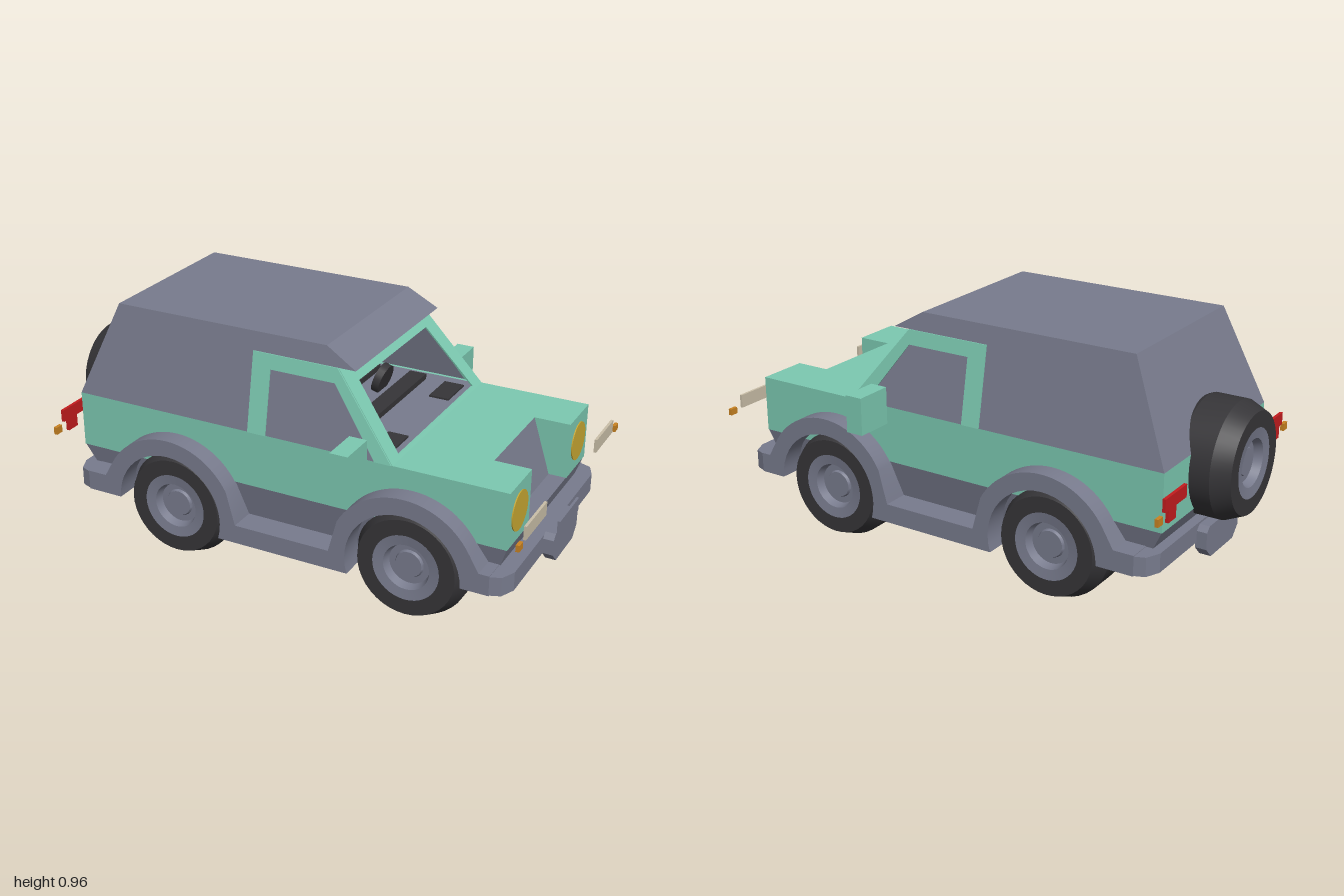
import * as THREE from 'three';
import { toCreasedNormals } from 'three/addons/utils/BufferGeometryUtils.js';

const mat = (name, color, side = THREE.FrontSide) => {
  const m = new THREE.MeshStandardMaterial({ color, side });
  m.name = name;
  return m;
};

export function createModel() {
  const green = mat('body green', 0x7cc9b1, THREE.DoubleSide);
  const grey = mat('trim grey', 0x787b8d, THREE.DoubleSide);
  const black = mat('tyre black', 0x363538);
  const yellow = mat('headlight yellow', 0xc8a832);
  const cream = mat('lamp cream', 0xcabfa8);
  const orange = mat('indicator orange', 0xc98322);
  const red = mat('tail red', 0xc41c1e);

  const car = new THREE.Group();
  car.name = 'offRoadCar';

  const add = (name, geo, material, parent = car) => {
    const m = new THREE.Mesh(geo, material);
    m.name = name;
    parent.add(m);
    return m;
  };
  // box given by its limits on each axis
  const box = (name, [x0, x1], [y0, y1], [z0, z1], material, parent) => {
    const g = new THREE.BoxGeometry(x1 - x0, y1 - y0, z1 - z0);
    g.translate((x0 + x1) / 2, (y0 + y1) / 2, (z0 + z1) / 2);
    return add(name, g, material, parent);
  };
  const shapeOf = pts => new THREE.Shape(pts.map(p => new THREE.Vector2(p[0], p[1])));
  const extrude = (shape, z0, z1) =>
    new THREE.ExtrudeGeometry(shape, { depth: z1 - z0, bevelEnabled: false }).translate(0, 0, z0);
  const remap = (geo, rule) => {
    const p = geo.attributes.position;
    for (let i = 0; i < p.count; i++) p.setXYZ(i, ...rule(p.getX(i), p.getY(i), p.getZ(i)));
    geo.computeVertexNormals();
    return geo;
  };

  // lower body, front wings and sloping grille
  box('lowerBody', [-0.855, 0.77], [0.37, 0.59], [-0.405, 0.405], green);
  add('grille', extrude(shapeOf([[0.77, 0.37], [0.84, 0.37], [0.77, 0.59]]), -0.2, 0.2), grey);

  // tapered sill under the body
  const sill = new THREE.BoxGeometry(1, 1, 1).toNonIndexed();
  add('sill', remap(sill, (x, y, z) => y > 0
    ? [x > 0 ? 0.908 : -0.853, 0.37, Math.sign(z) * 0.404]
    : [x > 0 ? 0.86 : -0.78, 0.225, Math.sign(z) * 0.375]), grey);
  box('chassis', [-0.64, 0.77], [0.155, 0.36], [-0.3, 0.3], grey);

  // bumpers with clipped corners
  const bumper = (name, pts) => {
    const plan = pts.concat(pts.slice().reverse().map(([x, z]) => [x, -z]));
    add(name, extrude(shapeOf(plan), 0.225, 0.298).rotateX(-Math.PI / 2), grey);
  };
  bumper('frontBumper', [[0.78, 0.48], [0.88, 0.48], [0.92, 0.465], [0.945, 0.41]]);
  bumper('rearBumper', [[-0.65, 0.48], [-0.79, 0.48], [-0.83, 0.465], [-0.855, 0.41]]);

  // wheel flares joined by the side step
  const wheelX = [-0.42, 0.55], axleY = 0.222;
  const flare = new THREE.Shape();
  flare.moveTo(-0.79, axleY);
  flare.lineTo(-0.79, 0.3);
  for (const x of wheelX) {
    flare.lineTo(x - 0.29, x < 0 ? 0.3 : 0.23);
    flare.absarc(x, axleY, 0.29, Math.PI - 0.5, 0.5, true);
    flare.lineTo(x + 0.29, x < 0 ? 0.23 : 0.3);
  }
  flare.lineTo(0.88, 0.3);
  flare.lineTo(0.88, axleY);
  flare.absarc(0.55, axleY, 0.224, 0, Math.PI + 0.3, false);
  flare.absarc(-0.42, axleY, 0.224, -0.3, Math.PI, false);
  const flareGeo = toCreasedNormals(extrude(flare, 0.3, 0.48), 0.5);

  // cabin walls lean inwards with height
  const wallZ = y => 0.405 - (y - 0.59) * 0.189;
  const lean = geo => remap(geo, (x, y, z) => [x, y, wallZ(y) + z]);
  const wall = lean(new THREE.ShapeGeometry(shapeOf([
    [-0.855, 0.59], [0.47, 0.59], [0.23, 0.89], [0.3, 0.89], [0.18, 0.96], [-0.7, 0.96]])));
  const doorFrame = lean(extrude(shapeOf([
    [-0.11, 0.59], [-0.035, 0.59], [-0.035, 0.835], [0.225, 0.835], [0.405, 0.59],
    [0.47, 0.59], [0.23, 0.89], [-0.11, 0.89]]), -0.004, 0.004));

  // roof strip running from tailgate to visor
  const roofLine = [[-0.855, 0.59], [-0.7, 0.96], [0.18, 0.96], [0.3, 0.89], [0.23, 0.89]];
  for (let i = 0; i < roofLine.length - 1; i++) {
    const ends = [roofLine[i], roofLine[i + 1]];
    const strip = remap(new THREE.PlaneGeometry(1, 1), (x, y) => {
      const [px, py] = ends[x < 0 ? 0 : 1];
      return [px, py, -Math.sign(y) * wallZ(py)];
    });
    add(['rearPanel', 'roof', 'visor', 'visorUnderside'][i], strip, grey);
  }

  // windscreen surround, sloped back
  const screen = shapeOf([[-0.405, 0.59], [0.405, 0.59], [0.348, 0.89], [-0.348, 0.89]]);
  screen.holes.push(new THREE.Path(
    [[-0.335, 0.6], [-0.285, 0.83], [0.285, 0.83], [0.335, 0.6]].map(p => new THREE.Vector2(...p))));
  add('windscreenFrame', remap(extrude(screen, -0.004, 0.004),
    (z, y, d) => [0.47 - (y - 0.59) * 0.8 + d, y, -z]), green);

  // interior
  box('cabinFloor', [-0.84, 0.46], [0.586, 0.593], [-0.385, 0.385], grey);
  box('seatBar', [0.0, 0.07], [0.59, 0.615], [-0.33, 0.33], black);
  box('dashboard', [0.2, 0.27], [0.59, 0.615], [-0.33, 0.33], black);
  const steering = add('steeringWheel', new THREE.CylinderGeometry(0.06, 0.06, 0.03, 20), black);
  steering.rotation.z = Math.PI / 2 - 0.3;
  steering.position.set(0.16, 0.64, -0.16);

  // wheels: tyre and dished rim, axis along z
  const lathe = pts => toCreasedNormals(
    new THREE.LatheGeometry(pts.map(p => new THREE.Vector2(...p)), 40), 0.4).rotateX(Math.PI / 2);
  const tyreGeo = lathe([[0, -0.1275], [0.19, -0.1275], [0.22, -0.06], [0.22, 0.06],
    [0.19, 0.1275], [0.13, 0.1275]]);
  const rimGeo = lathe([[0.13, 0.1275], [0.09, 0.122], [0.08, 0.09], [0.055, 0.09],
    [0.05, 0.1], [0, 0.1]]);
  const wheel = (name, parent) => {
    const g = new THREE.Group();
    g.name = name;
    add('tyre', tyreGeo, black, g);
    add('rim', rimGeo, grey, g);
    parent.add(g);
    return g;
  };
  const spare = wheel('spareWheel', car);
  spare.rotation.y = -Math.PI / 2;
  spare.position.set(-0.8725, 0.517, 0);

  // parts repeated on both sides
  for (const s of [1, -1]) {
    const side = new THREE.Group();
    side.name = s > 0 ? 'sideA' : 'sideB';
    side.scale.z = s;
    car.add(side);
    add('wheelFlares', flareGeo, grey, side);
    add('cabinWall', wall, grey, side);
    add('doorFrame', doorFrame, green, side);
    box('frontWing', [0.77, 0.91], [0.37, 0.59], [0.2, 0.405], green, side);
    box('mirror', [0.305, 0.375], [0.522, 0.667], [0.405, 0.555], green, side);
    box('dashEnd', [0.35, 0.43], [0.59, 0.6], [0.18, 0.33], black, side);
    for (const x of wheelX) {
      wheel(x > 0 ? 'frontWheel' : 'rearWheel', side).position.set(x, 0.22, 0.316);
    }
    const lamp = new THREE.CylinderGeometry(0.075, 0.075, 0.006, 32).rotateZ(Math.PI / 2);
    add('headlight', lamp, yellow, side).position.set(0.911, 0.48, 0.305);
    box('frontLampBar', [0.985, 0.995], [0.465, 0.517], [0.268, 0.465], cream, side);
    box('frontIndicator', [0.983, 0.997], [0.453, 0.478], [0.497, 0.53], orange, side);
    box('tailLamp', [-0.902, -0.89], [0.487, 0.535], [0.325, 0.48], red, side);
    box('tailLampLower', [-0.902, -0.89], [0.44, 0.487], [0.4, 0.455], red, side);
    box('rearIndicator', [-0.903, -0.889], [0.453, 0.482], [0.497, 0.53], orange, side);
  }

  // winch housings on the bumpers and front plate
  const housing = (name, x0, x1, y0, y1) => {
    const c = 0.04, w = 0.13;
    const geo = extrude(shapeOf([[-w + c, y0], [w - c, y0], [w, y0 + c], [w, y1 - c / 2],
      [w - c / 2, y1], [-w + c / 2, y1], [-w, y1 - c / 2], [-w, y0 + c]]), -x1, -x0);
    add(name, geo.rotateY(-Math.PI / 2), grey);
  };
  housing('frontWinch', 0.945, 0.985, 0.188, 0.307);
  housing('rearHitch', -0.895, -0.85, 0.165, 0.29);
  box('frontPlate', [0.985, 0.995], [0.3, 0.355], [-0.103, 0.103], grey);

  return car;
}
